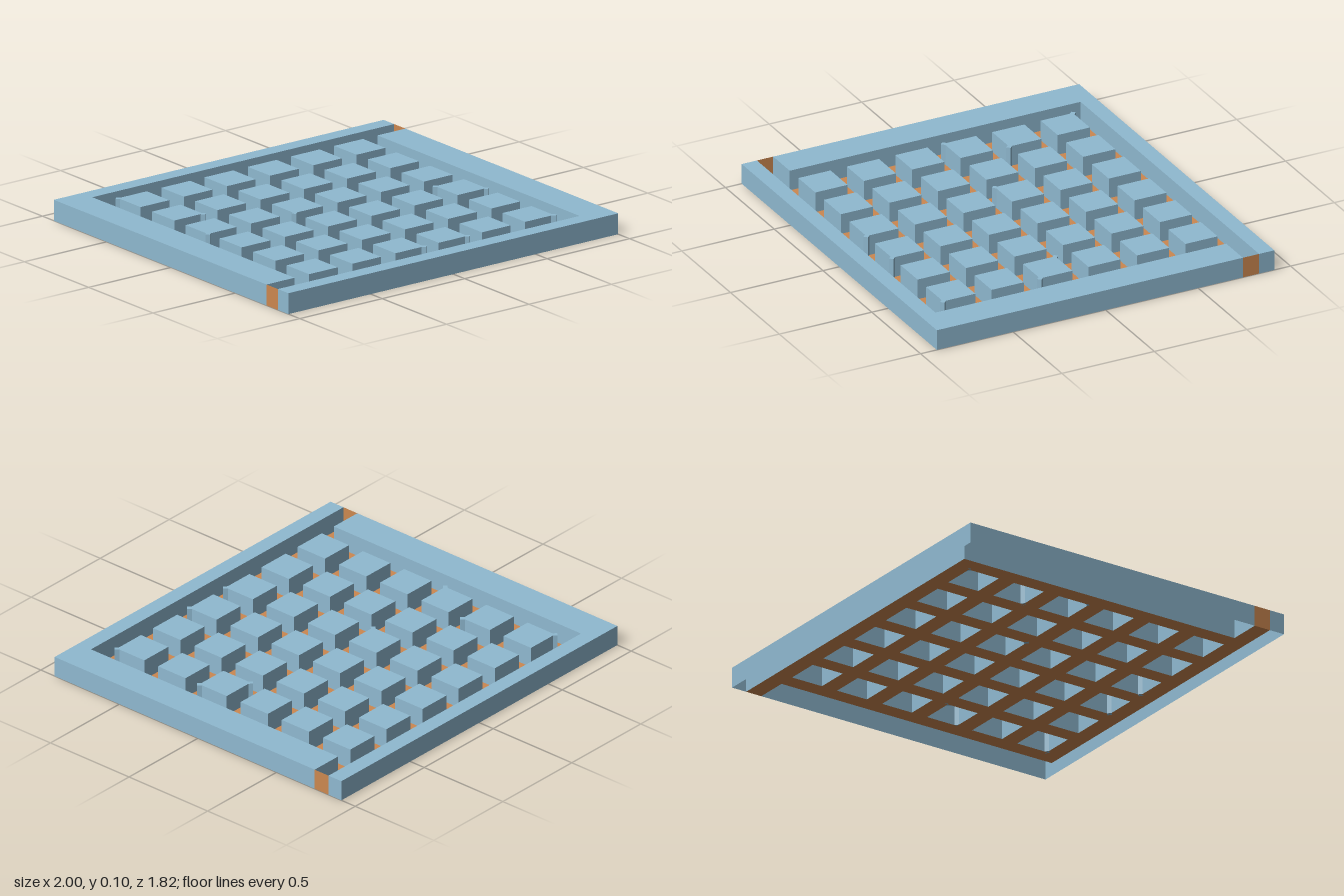
import * as THREE from 'three';

const H = 0.105;      // wall height
const EDGE = 0.83;    // half width of the maze area
const INNER = 0.742;  // outer limit of the blocks
const DEPTH = 0.912;  // half depth of the tray
const PITCH = 0.262, BLOCK = 0.174;

const blue = new THREE.MeshStandardMaterial({ color: 0x8fb9d0, side: THREE.DoubleSide, flatShading: true });
const orange = new THREE.MeshStandardMaterial({ color: 0xcc8850, side: THREE.DoubleSide, flatShading: true });

// Outline in plan: pairs of [x, z]
const toPoints = (pairs) => pairs.map(([x, z]) => new THREE.Vector2(x, -z));
const square = (x, z, h) => [[x - h, z - h], [x + h, z - h], [x + h, z + h], [x - h, z + h]];

// Hollow raised shape: top and walls, open underneath
function shell(pairs) {
  const solid = new THREE.ExtrudeGeometry(new THREE.Shape(toPoints(pairs)), { depth: H, bevelEnabled: false });
  solid.rotateX(-Math.PI / 2);
  const p = solid.toNonIndexed().attributes.position;
  const kept = [];
  for (let i = 0; i < p.count; i += 3) {
    const onGround = [0, 1, 2].every((k) => p.getY(i + k) < 1e-4);
    if (!onGround) for (let k = 0; k < 3; k++) kept.push(p.getX(i + k), p.getY(i + k), p.getZ(i + k));
  }
  const geometry = new THREE.BufferGeometry();
  geometry.setAttribute('position', new THREE.Float32BufferAttribute(kept, 3));
  geometry.computeVertexNormals();
  return geometry;
}

export function createModel() {
  const model = new THREE.Group();
  model.name = 'mazeTray';
  const add = (geometry, material, name, parent = model) => {
    const mesh = new THREE.Mesh(geometry, material);
    mesh.name = name;
    parent.add(mesh);
    return mesh;
  };

  // Two L-shaped border walls, each the other turned half a turn
  const border = [[-1, -DEPTH], [1, -DEPTH], [1, -EDGE], [-EDGE, -EDGE], [-EDGE, INNER], [-1, INNER]];
  add(shell(border), blue, 'backBorder');
  add(shell(border.map(([x, z]) => [-x, -z])), blue, 'frontBorder');

  // Grid of hollow blocks
  const blocks = new THREE.Group();
  blocks.name = 'blocks';
  model.add(blocks);
  const centres = Array.from({ length: 6 }, (_, i) => (i - 2.5) * PITCH);
  const blockGeometry = shell(square(0, 0, BLOCK / 2));
  for (const x of centres) for (const z of centres) {
    add(blockGeometry, blue, 'block', blocks).position.set(x, 0, z);
  }

  // Path floor with an opening under every block and a tab at each entrance
  const half = [[-EDGE, -EDGE], [1, -EDGE], [1, -INNER], [EDGE, -INNER]];
  const floor = new THREE.Shape(toPoints([...half, ...half.map(([x, z]) => [-x, -z])]));
  for (const x of centres) for (const z of centres) {
    floor.holes.push(new THREE.Path(toPoints(square(x, z, BLOCK / 2))));
  }
  add(new THREE.ShapeGeometry(floor).rotateX(-Math.PI / 2), orange, 'pathFloor');

  // Panels closing the two entrances
  for (const s of [1, -1]) {
    const panel = add(new THREE.PlaneGeometry(EDGE - INNER, H), orange, 'entrancePanel');
    panel.rotation.y = s * Math.PI / 2;
    panel.position.set(s, H / 2, -s * (EDGE + INNER) / 2);
  }

  // Slim diamond posts on some block corners
  const posts = new THREE.Group();
  posts.name = 'cornerPosts';
  model.add(posts);
  const postGeometry = new THREE.CylinderGeometry(0.016, 0.016, H, 4, 1);
  const corners = [[-0.742, -0.742], [-0.568, -0.306], [-0.742, -0.044], [-0.218, -0.044], [0.568, 0.044],
    [0.742, 0.218], [-0.044, 0.742], [0.218, 0.742], [0.742, 0.742]];
  for (const [x, z] of corners) add(postGeometry, blue, 'cornerPost', posts).position.set(x, H / 2, z);

  return model;
}
